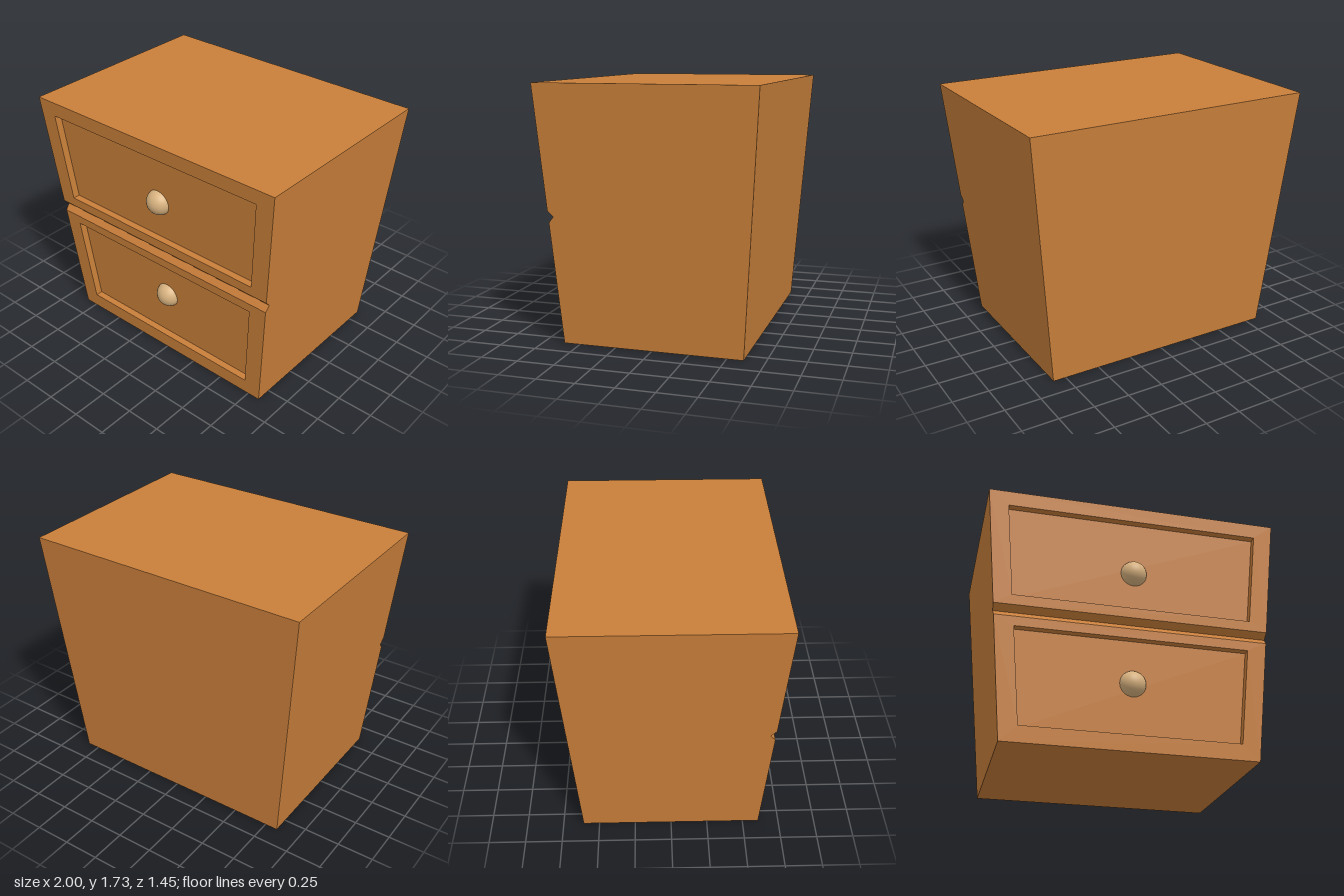
import * as THREE from 'three';
import { mergeGeometries } from 'three/addons/utils/BufferGeometryUtils.js';

const H = 1.725;
const GROOVE = { low: 0.825, mid: 0.865, high: 0.905, depth: 0.035 };
const RECESS = 0.05;
// Half width and half depth of the flaring cabinet at height y
const hw = (y) => 0.84 + (0.16 * y) / H;
const hd = (y) => 0.61 + (0.117 * y) / H;

// Flat polygon in 2D (with optional hole), placed in space by a mapping rule
function face(points, place, hole) {
  const toVec = (list) => list.map(([a, b]) => new THREE.Vector2(a, b));
  const shape = new THREE.Shape(toVec(points));
  if (hole) shape.holes.push(new THREE.Path(toVec(hole)));
  const g = new THREE.ShapeGeometry(shape).toNonIndexed();
  const p = g.attributes.position;
  for (let i = 0; i < p.count; i++) p.setXYZ(i, ...place(p.getX(i), p.getY(i)));
  g.computeVertexNormals();
  return g;
}

// Four corners, counter-clockwise seen from outside
function quad(a, b, c, d) {
  const g = new THREE.BufferGeometry();
  g.setAttribute('position', new THREE.Float32BufferAttribute([a, b, c, a, c, d].flat(), 3));
  g.setAttribute('uv', new THREE.Float32BufferAttribute(new Array(12).fill(0), 2));
  g.computeVertexNormals();
  return g;
}

export function createModel() {
  const model = new THREE.Group();
  const wood = new THREE.MeshStandardMaterial({ color: 0xc97f3a });
  wood.name = 'orange wood';
  const knobMat = new THREE.MeshStandardMaterial({ color: 0xd9b380 });
  knobMat.name = 'pale knob';
  const add = (name, geometry, material) => {
    const mesh = new THREE.Mesh(geometry, material);
    mesh.name = name;
    model.add(mesh);
    return mesh;
  };

  // Cabinet shell: notched sides, back, top and bottom
  const apex = hd(GROOVE.mid) - GROOVE.depth;
  const profile = [
    [-hd(0), 0], [hd(0), 0], [hd(GROOVE.low), GROOVE.low], [apex, GROOVE.mid],
    [hd(GROOVE.high), GROOVE.high], [hd(H), H], [-hd(H), H],
  ];
  const c = (sx, y, sz) => [sx * hw(y), y, sz * hd(y)];
  add('cabinetShell', mergeGeometries([
    face(profile, (z, y) => [-hw(y), y, z]),
    face(profile.map(([z, y]) => [-z, y]), (u, y) => [hw(y), y, -u]),
    quad(c(1, 0, -1), c(-1, 0, -1), c(-1, H, -1), c(1, H, -1)),
    quad(c(-1, H, 1), c(1, H, 1), c(1, H, -1), c(-1, H, -1)),
    quad(c(-1, 0, -1), c(1, 0, -1), c(1, 0, 1), c(-1, 0, 1)),
  ]), wood);

  // V groove between the drawers
  const g = (sx, y, z) => [sx * hw(y), y, z];
  const { low, mid, high } = GROOVE;
  add('drawerGroove', mergeGeometries([
    quad(g(-1, low, hd(low)), g(1, low, hd(low)), g(1, mid, apex), g(-1, mid, apex)),
    quad(g(-1, mid, apex), g(1, mid, apex), g(1, high, hd(high)), g(-1, high, hd(high))),
  ]), wood);

  // Drawers: frame, sunken panel, its four walls and a knob
  const drawers = [
    { name: 'upper', y0: high, y1: H, p0: 0.975, p1: 1.622, w0: 0.806, w1: 0.864, knobY: 1.255, knobZ: 0.632 },
    { name: 'lower', y0: 0, y1: low, p0: 0.11, p1: 0.76, w0: 0.725, w1: 0.784, knobY: 0.468, knobZ: 0.573 },
  ];
  for (const d of drawers) {
    const outer = [[-hw(d.y0), d.y0], [hw(d.y0), d.y0], [hw(d.y1), d.y1], [-hw(d.y1), d.y1]];
    const inner = [[-d.w0, d.p0], [d.w0, d.p0], [d.w1, d.p1], [-d.w1, d.p1]];
    const front = (x, y) => [x, y, hd(y)];
    const sunk = (x, y) => [x, y, hd(y) - RECESS];
    add(d.name + 'DrawerFrame', face(outer, front, inner), wood);

    const parts = [face(inner, sunk)];
    inner.forEach((a, i) => {
      const b = inner[(i + 1) % 4];
      parts.push(quad(front(...a), front(...b), sunk(...b), sunk(...a)));
    });
    add(d.name + 'DrawerPanel', mergeGeometries(parts), wood);

    add(d.name + 'Knob', new THREE.SphereGeometry(0.09, 32, 20), knobMat)
      .position.set(0.008, d.knobY, d.knobZ);
  }
  return model;
}
